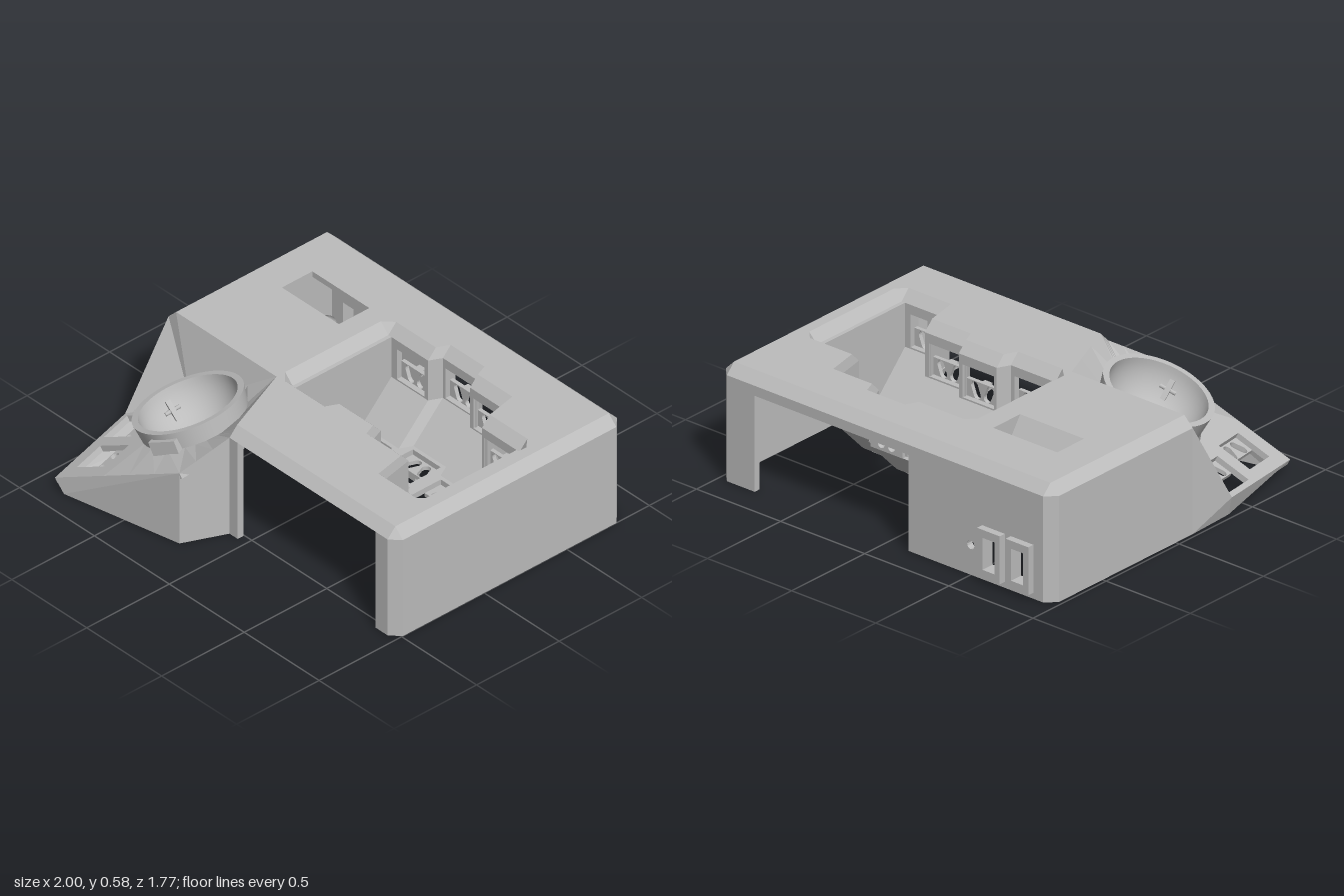
import * as THREE from 'three';

const V = (x, y, z) => new THREE.Vector3(x, y, z);
const grey = new THREE.MeshStandardMaterial({ color: 0xbcbcbc, side: THREE.DoubleSide });
grey.name = 'shellGrey';

export function createModel() {
  const root = new THREE.Group();
  root.name = 'keyboardShell';
  const add = (name, geo, parent = root) => {
    const m = new THREE.Mesh(geo, grey);
    m.name = name;
    parent.add(m);
    return m;
  };

  // Flat polygon in space, thickened away from its visible side
  function panel(name, pts, t = 0.03, holes = []) {
    const n = V(0, 0, 0);
    pts.forEach((p, i) => n.add(p.clone().cross(pts[(i + 1) % pts.length])));
    n.normalize();
    const u = pts[1].clone().sub(pts[0]).normalize();
    const v = n.clone().cross(u);
    const flat = (p) => {
      const d = p.clone().sub(pts[0]);
      return new THREE.Vector2(d.dot(u), d.dot(v));
    };
    const shape = new THREE.Shape(pts.map(flat));
    holes.forEach((h) => shape.holes.push(new THREE.Path(h.map(flat))));
    const g = new THREE.ExtrudeGeometry(shape, { depth: t, bevelEnabled: false });
    g.translate(0, 0, -t);
    g.applyMatrix4(new THREE.Matrix4().makeBasis(u, v, n).setPosition(pts[0]));
    return add(name, g);
  }

  // Faceted strip between two lines of points
  function strip(name, a, b) {
    const pos = [];
    for (let i = 0; i + 1 < a.length; i++)
      [a[i], b[i], b[i + 1], a[i], b[i + 1], a[i + 1]].forEach((p) => pos.push(p.x, p.y, p.z));
    const g = new THREE.BufferGeometry();
    g.setAttribute('position', new THREE.Float32BufferAttribute(pos, 3));
    g.computeVertexNormals();
    return add(name, g);
  }

  // Square around c spanned by u and v
  const square = (c, u, v, hu = 0.0925, hv = hu) => [[-1, -1], [1, -1], [1, 1], [-1, 1]].map(
    ([i, j]) => c.clone().addScaledVector(u, i * hu).addScaledVector(v, j * hv));

  // Switch socket: half plate with two slanted cut-outs and a stub, on side n of a key hole
  function socket(c, u, v, n) {
    const g = new THREE.Group();
    g.name = 'switchSocket';
    const s = new THREE.Shape();
    s.moveTo(-0.095, -0.005); s.lineTo(0.095, -0.005); s.lineTo(0.095, 0.095); s.lineTo(-0.095, 0.095);
    for (const sx of [-1, 1]) {
      const lobe = [];
      for (let k = 0; k < 18; k++) {
        const [x, y] = k < 9 ? [0.03, 0.062] : [0.046, 0.02];
        const a = 0.35 + (k - (k < 9 ? 0 : 1)) * Math.PI / 8;
        lobe.push(new THREE.Vector2(sx * (x + 0.021 * Math.cos(a)), y + 0.021 * Math.sin(a)));
      }
      s.holes.push(new THREE.Path(lobe));
    }
    add('socketPlate', new THREE.ExtrudeGeometry(s, { depth: 0.02, bevelEnabled: false }), g);
    add('socketStub', new THREE.BoxGeometry(0.044, 0.03, 0.03), g).position.set(0, 0.015, 0.03);
    const w = u.clone().cross(v).dot(n) > 0 ? u : u.clone().negate();
    g.applyMatrix4(new THREE.Matrix4().makeBasis(w, v, n).setPosition(c.clone().addScaledVector(n, 0.028)));
    root.add(g);
  }

  // Finger well: one cross-section (z, y) carried through four shifted columns
  const prof = [[-0.3375, 0.58], [-0.29, 0.53], [-0.29, 0.31], [-0.1125, 0.13],
    [0.1125, 0.13], [0.29, 0.31], [0.29, 0.53], [0.3375, 0.58]];
  const columns = [[-0.21, 0.055, -0.2275, -0.06], [0.085, 0.31, -0.29, 0.195],
    [0.335, 0.565, -0.2275, 0.45], [0.6, 0.85, -0.06, 0.705]];
  const at = (x, cz, j) => V(x, prof[j][1], cz + prof[j][0]);
  const X = V(1, 0, 0), Y = V(0, 1, 0), Z = V(0, 0, 1);
  const down = V(0, -1, 0), back = V(0, 0, -1);
  columns.forEach(([x0, x1, cz, cx], i) => {
    for (let j = 0; j < 7; j++) {
      const holes = [];
      if (j === 3) {
        const c = V(cx, 0.13, cz);
        holes.push(square(c, X, Z));
        socket(c, X, back, down);
      } else if (j === 1 || j === 5) {
        const c = V(cx, 0.4, cz + (j === 1 ? -0.29 : 0.29));
        holes.push(square(c, X, Y, 0.0925, 0.082));
        socket(c, X, down, j === 1 ? back : Z);
      }
      const t = j === 0 || j === 6 ? 0.012 : 0.03;
      panel('wellPanel', [at(x0, cz, j), at(x0, cz, j + 1), at(x1, cz, j + 1), at(x1, cz, j)], t, holes);
      const nx = columns[i + 1];
      if (nx) panel('wellStep', [at(x1, cz, j), at(x1, cz, j + 1), at(nx[0], nx[2], j + 1), at(nx[0], nx[2], j)], t);
    }
  });
  // Well ends with their top chamfers
  const ends = [[-0.21, -0.26, -0.2275], [0.85, 0.895, -0.06]].map(([x, xo, cz]) => {
    const side = [1, 2, 3, 4, 5, 6].map((j) => at(x, cz, j));
    panel('wellEnd', xo < x ? side : side.reverse(), 0.02);
    const outer = [at(x, cz, 0), V(xo, 0.58, cz - 0.29), V(xo, 0.58, cz + 0.29), at(x, cz, 7)];
    strip('wellEndChamfer', outer, [at(x, cz, 1), at(x, cz, 1), at(x, cz, 6), at(x, cz, 6)]);
    return outer;
  });
  const wellHole = [];
  columns.forEach(([x0, x1, cz]) => wellHole.push(at(x0, cz, 0), at(x1, cz, 0)));
  wellHole.push(ends[1][1], ends[1][2]);
  [...columns].reverse().forEach(([x0, x1, cz]) => wellHole.push(at(x1, cz, 7), at(x0, cz, 7)));
  wellHole.push(ends[0][2], ends[0][1]);

  // Top plate with the well and display slot
  const T = V(-0.26, 0.58, 0.115), D2 = V(-0.105, 0.58, 0.493), D = V(-0.105, 0.53, 0.54);
  const slot = square(V(-0.56, 0.58, -0.455), X, Z, 0.19, 0.092);
  panel('topPlate', [V(-0.93, 0.58, 0.115), T, D2, V(0.95, 0.58, 0.493), V(0.95, 0.58, -0.8),
    V(-0.93, 0.58, -0.8)], 0.03, [wellHole, slot]);
  panel('slotRamp', [V(-0.75, 0.58, -0.363), V(-0.37, 0.58, -0.363), V(-0.37, 0.46, -0.445), V(-0.75, 0.46, -0.445)], 0.02);

  // Chamfer around the top edge
  const rim = [[-0.98, 0.115, -0.93, 0.115], [-0.98, -0.8, -0.93, -0.8], [-0.93, -0.85, -0.93, -0.8],
    [0.95, -0.85, 0.95, -0.8], [1, -0.8, 0.95, -0.8], [1, 0.493, 0.95, 0.493],
    [0.95, 0.54, 0.95, 0.493], [-0.105, 0.54, -0.105, 0.493]];
  strip('topChamfer', rim.map((r) => V(r[0], 0.53, r[1])), rim.map((r) => V(r[2], 0.58, r[3])));

  // Side walls and corner chamfers
  [0, 1, 3, 4, 5].forEach((i) => {
    const [a, b] = [rim[i], rim[i + 1]];
    panel('sideWall', [V(a[0], 0, a[1]), V(a[0], 0.53, a[1]), V(b[0], 0.53, b[1]), V(b[0], 0, b[1])], 0.035);
  });
  // Back wall with cable opening, ports and a round hole
  const ports = [-0.805, -0.635];
  const pinHole = Array.from({ length: 12 }, (_, i) =>
    V(-0.5 + 0.022 * Math.cos(i * Math.PI / 6), 0.15 + 0.022 * Math.sin(i * Math.PI / 6), -0.85));
  panel('backWall', [[-0.93, 0], [-0.93, 0.53], [0.95, 0.53], [0.95, 0], [0.785, 0], [0.785, 0.48],
    [-0.13, 0.48], [-0.13, 0]].map(([x, y]) => V(x, y, -0.85)), 0.035,
  [...ports.map((x) => square(V(x, 0.15, -0.85), X, Y, 0.036, 0.08)), pinHole]);
  ports.forEach((x) => panel('portFrame', square(V(x, 0.15, -0.885), X, Y, 0.067, 0.12).reverse(), 0.035,
    [square(V(x, 0.15, -0.885), X, Y, 0.036, 0.08)]));
  // Front columns beside the open front
  [[-0.105, -0.05], [0.87, 0.95]].forEach(([a, b]) => panel('frontColumn',
    [V(a, 0, 0.54), V(b, 0, 0.54), V(b, 0.53, 0.54), V(a, 0.53, 0.54)], 0.035));
  // Screw posts
  [[-0.9, -0.77], [-0.91, 0.0], [0.91, -0.77], [0.91, 0.44]].forEach(([x, z]) => {
    const p = [[0.018, 0.12], [0.018, 0], [0.043, 0], [0.043, 0.12], [0.018, 0.12]].map((q) => new THREE.Vector2(...q));
    add('screwPost', new THREE.LatheGeometry(p, 16)).position.set(x, 0, z);
  });

  // Thumb deck: a tilted plane
  const deck = (x, z) => V(x, 0.607 + 0.446 * x - 0.171 * z, z);
  const n = V(-0.446, 1, 0.171).normalize();
  const A = deck(-1, 0.36), B = deck(-0.89, 0.885), C = deck(-0.2, 0.757), N = deck(-0.72, 0.22);
  const deckHole = Array.from({ length: 32 }, (_, i) =>
    deck(-0.475 + 0.225 * Math.cos(i * Math.PI / 16), 0.41 + 0.225 * Math.sin(i * Math.PI / 16)));
  const along = B.clone().sub(A).normalize();
  const across = along.clone().cross(n);
  if (across.x < 0) across.negate();
  const keys = [deck(-0.872, 0.448), deck(-0.785, 0.69)];
  panel('thumbDeck', [A, B, C, deck(-0.15, 0.45), deck(-0.28, 0.1), N], 0.03,
    [deckHole, ...keys.map((k) => square(k, along, across, 0.09))]);
  keys.forEach((k) => socket(k, along, across, n.clone().negate()));

  // Ball cup, tilted a little less than the deck
  const cup = new THREE.Group();
  cup.name = 'ballCup';
  cup.position.set(-0.51, 0.452, 0.425);
  cup.quaternion.setFromUnitVectors(Y, V(-0.36, 1, 0.16).normalize());
  root.add(cup);
  const lathe = (name, pts) => add(name, new THREE.LatheGeometry(pts.map((p) => new THREE.Vector2(...p)), 48), cup);
  lathe('cupBowl', Array.from({ length: 15 }, (_, i) => {
    const a = 0.14 + (Math.PI / 2 - 0.14) * i / 14;
    return [0.238 * Math.sin(a), -0.238 * Math.cos(a)];
  }));
  [['cupRim', 0.238, 0, 0.268, 0], ['cupSide', 0.268, 0, 0.25, -0.12], ['cupShoulder', 0.25, -0.12, 0.2, -0.17],
    ['cupBarrel', 0.2, -0.17, 0.185, -0.27], ['cupBase', 0.185, -0.27, 0.034, -0.27],
    ['cupBore', 0.034, -0.27, 0.034, -0.234]].forEach(([name, r0, h0, r1, h1]) => lathe(name, [[r0, h0], [r1, h1]]));
  // Three bearing mounts around the cup, one with an outer tab
  [70, 190, 310].forEach((deg) => {
    const mount = new THREE.Group();
    mount.name = 'bearingMount';
    mount.rotation.y = -THREE.MathUtils.degToRad(deg);
    cup.add(mount);
    if (deg === 70) add('bearingTab', new THREE.BoxGeometry(0.04, 0.08, 0.14), mount).position.set(0.262, -0.07, 0);
    const pin = add('bearingPin', new THREE.CylinderGeometry(0.01, 0.01, 0.08, 10), mount);
    pin.rotation.x = Math.PI / 2;
    pin.position.set(0.213, -0.1, 0);
    const arm = add('bearingRoller', new THREE.BoxGeometry(0.02, 0.1, 0.025), mount);
    arm.rotation.z = -0.45;
    arm.position.set(0.21, -0.1, 0);
  });

  // Facets rising from the cup to the main body
  const outer = [N, T, D2, D, C, deck(-0.62, 0.835)];
  const fan = [];
  outer.forEach((p, i) => {
    for (let k = 0; k < (i < 5 ? 3 : 1); k++) fan.push(p.clone().lerp(outer[i + 1] ?? p, k / 3));
  });
  cup.updateMatrixWorld();
  strip('thumbFacets', fan, fan.map((p) => {
    const l = cup.worldToLocal(p.clone());
    const a = Math.atan2(l.z, l.x);
    return cup.localToWorld(V(0.25 * Math.cos(a), -0.09, 0.25 * Math.sin(a)));
  }));
  const W = V(-0.93, 0.58, 0.115), P = V(-0.98, 0.53, 0.115);
  strip('thumbSlope', [T, W, P, A], [N, N, N, N]);
  // Thumb walls, thick towards the foot under the keys
  const foot = [V(-0.98, 0, 0.115), V(-0.97, 0, 0.37), V(-0.83, 0, 0.885), V(-0.2, 0, 0.757), V(-0.105, 0, 0.54)];
  const top = [P, A, B, C, D];
  const inset = foot.map((p, i) => p.clone().add(
    V([0.035, 0.075, 0.055, -0.02, -0.035][i], 0, [0, 0, -0.04, -0.035, -0.02][i])));
  const innerTop = [V(-0.945, 0.4, 0.115), V(-0.965, 0.09, 0.37), V(-0.865, 0.05, 0.845),
    V(-0.22, 0.35, 0.722), V(-0.14, 0.5, 0.52)];
  strip('thumbWalls', foot, top);
  strip('thumbWallFoot', foot, inset);
  strip('thumbInnerWalls', inset, innerTop);
  return root;
}
